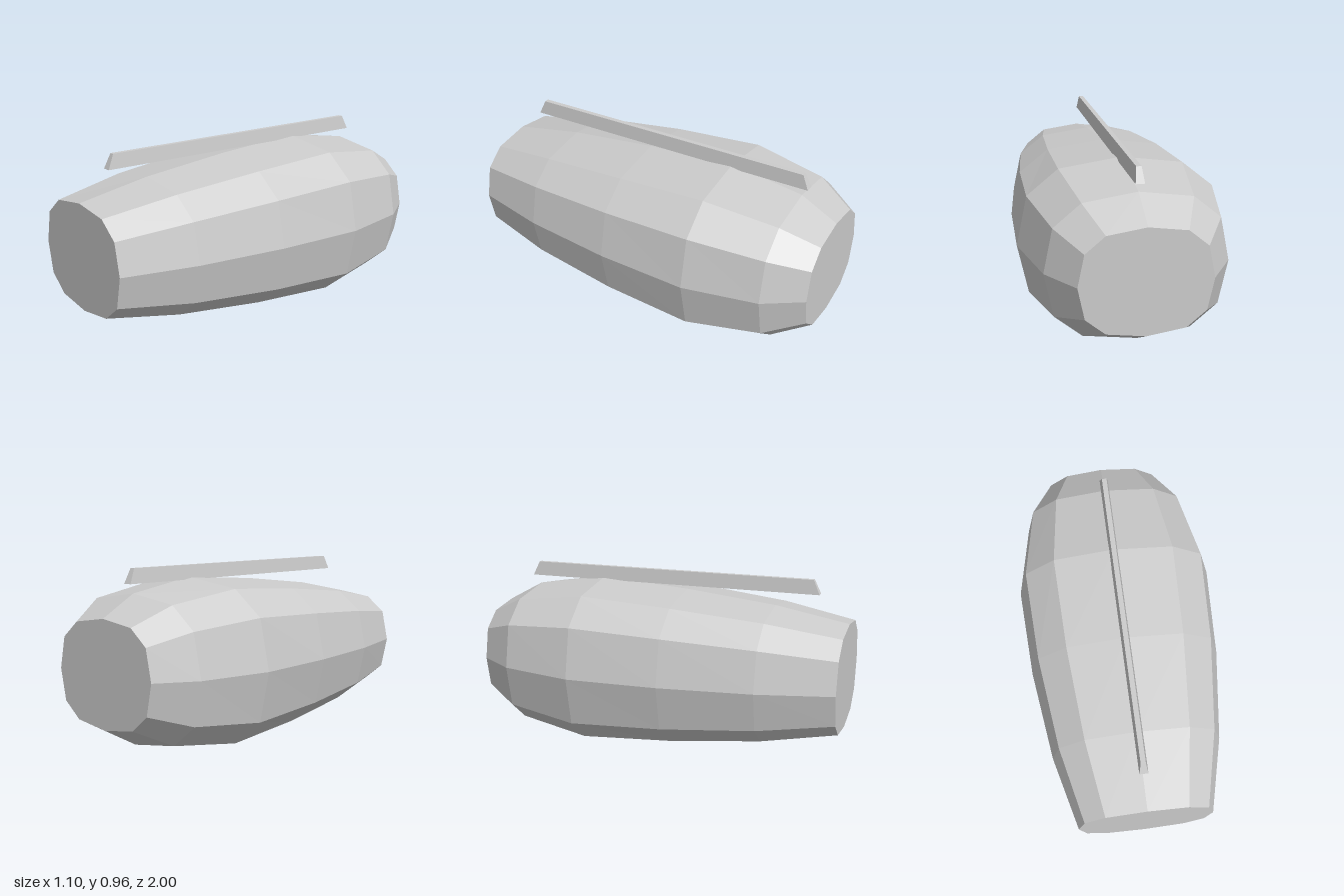
import * as THREE from 'three';

const material = new THREE.MeshStandardMaterial({ color: 0xcccccc, flatShading: true });

// Body stations from back to front: z, half width, half height
const STATIONS = [
  [-1, 0.333, 0.278],
  [-0.8, 0.465, 0.387],
  [-0.4, 0.55, 0.449],
  [0.1, 0.527, 0.414],
  [0.6, 0.462, 0.36],
  [1, 0.363, 0.288],
];
const CENTRE_Y = 0.451;

// Softens a circle coordinate into a rounded-box (superellipse) one
const soften = (v) => Math.sign(v) * Math.pow(Math.abs(v), 0.75);

// Twelve-sided barrel: a unit cylinder laid along z and fitted to the stations
function barrelGeometry() {
  const rows = STATIONS.length - 1;
  const geometry = new THREE.CylinderGeometry(1, 1, 1, 12, rows);
  const pos = geometry.attributes.position;
  for (let i = 0; i < pos.count; i++) {
    const [z, w, h] = STATIONS[Math.round((pos.getY(i) + 0.5) * rows)];
    pos.setXYZ(i, soften(pos.getX(i)) * w, CENTRE_Y - soften(pos.getZ(i)) * h, z);
  }
  geometry.computeVertexNormals();
  return geometry;
}

// Thin ridge bar that tapers toward its top on all four sides
function ridgeGeometry() {
  const geometry = new THREE.BoxGeometry(2, 0.077, 2);
  const pos = geometry.attributes.position;
  for (let i = 0; i < pos.count; i++) {
    const top = pos.getY(i) > 0;
    pos.setX(i, pos.getX(i) * (top ? 0.013 : 0.023));
    pos.setZ(i, pos.getZ(i) * (top ? 0.802 : 0.837));
  }
  geometry.computeVertexNormals();
  return geometry;
}

export function createModel() {
  const group = new THREE.Group();

  const body = new THREE.Mesh(barrelGeometry(), material);
  body.name = 'body';
  group.add(body);

  const rail = new THREE.Mesh(ridgeGeometry(), material);
  rail.name = 'topRail';
  rail.position.y = 0.926;
  group.add(rail);

  return group;
}
